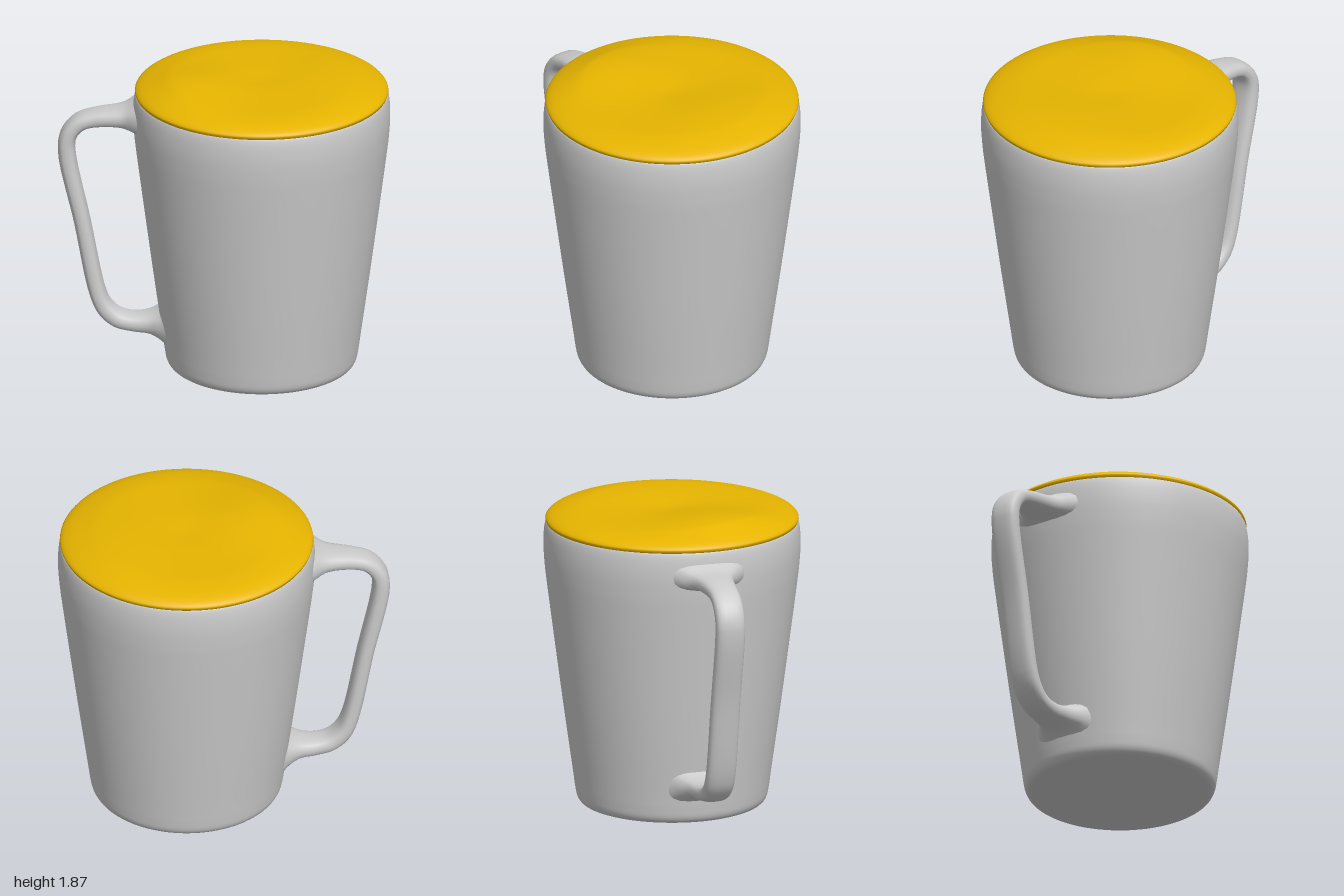
import * as THREE from 'three';
import { mergeVertices } from 'three/addons/utils/BufferGeometryUtils.js';

const CX = 0.225; // axis of the cup

// Builds an indexed surface from equally long loops of points
function skin(loops) {
  const n = loops[0].length, pos = [], idx = [];
  loops.forEach(l => l.forEach(p => pos.push(p.x, p.y, p.z)));
  for (let i = 0; i < loops.length - 1; i++)
    for (let j = 0; j < n; j++) {
      const a = i * n + j, b = i * n + (j + 1) % n;
      idx.push(a, b, a + n, b, b + n, a + n);
    }
  let g = new THREE.BufferGeometry();
  g.setAttribute('position', new THREE.Float32BufferAttribute(pos, 3));
  g.setIndex(idx);
  g = mergeVertices(g, 1e-5);
  g.computeVertexNormals();
  return g;
}

// Tapered cup with rounded foot and rim
function cup() {
  const wall = new THREE.SplineCurve([
    [0.5, 0.008], [0.545, 0.018], [0.57, 0.05], [0.582, 0.11], [0.597, 0.22], [0.65, 0.6], [0.703, 1.0],
    [0.752, 1.38], [0.765, 1.5], [0.771, 1.6], [0.768, 1.69], [0.758, 1.745], [0.745, 1.753],
  ].map(p => new THREE.Vector2(...p))).getPoints(60);
  const profile = [new THREE.Vector2(0, 0), new THREE.Vector2(0.3, 0.003), ...wall, new THREE.Vector2(0, 1.753)];
  const g = new THREE.LatheGeometry(profile, 96);
  g.translate(CX, 0, 0);
  return g;
}

// Softly waved surface of the lid
function lidHeight(r, x, z) {
  const d = Math.min(1, (0.76 - r) / 0.25);
  const bump = (h, bx, bz, sx, sz) => h * Math.exp(-(((x - bx) / sx) ** 2) - ((z - bz) / sz) ** 2);
  const edge = 0.06 * Math.sqrt(Math.max(0, 1 - (1 - d) ** 2));
  const wave = bump(0.047, -0.2, 0.14, 0.3, 0.36) + bump(0.026, 0.62, -0.08, 0.27, 0.45) - bump(0.008, CX, -0.02, 0.12, 0.12);
  return 1.765 + edge + wave * Math.min(1, d * 1.3);
}

function lid() {
  const N = 96, loops = [];
  const ring = (r, height) => loops.push(Array.from({ length: N }, (_, j) => {
    const a = -j / N * Math.PI * 2, x = CX + r * Math.cos(a), z = r * Math.sin(a);
    return new THREE.Vector3(x, height ?? lidHeight(r, x, z), z);
  }));
  ring(0, 1.745);
  ring(0.745, 1.745);
  ring(0.755, 1.75);
  for (let i = 0; i <= 36; i++) ring(0.76 * Math.cos(i / 36 * Math.PI / 2));
  return skin(loops);
}

// Handle between an outer and an inner edge; the third value is the half width
function handle() {
  const curve = pts => new THREE.CatmullRomCurve3(pts.map(p => new THREE.Vector3(...p)), false, 'centripetal');
  const outer = curve([
    [-0.47, 1.72, 0.27], [-0.535, 1.685, 0.2], [-0.61, 1.65, 0.13], [-0.77, 1.625, 0.095], [-0.89, 1.585, 0.09], [-0.97, 1.5, 0.09],
    [-0.998, 1.38, 0.09], [-0.9, 0.9, 0.09], [-0.805, 0.43, 0.09], [-0.75, 0.31, 0.09], [-0.66, 0.235, 0.09],
    [-0.54, 0.207, 0.095], [-0.45, 0.2, 0.115], [-0.385, 0.175, 0.16], [-0.33, 0.13, 0.21]]);
  const inner = curve([
    [-0.47, 1.5, 0], [-0.535, 1.515, 0], [-0.61, 1.53, 0], [-0.76, 1.525, 0], [-0.835, 1.505, 0], [-0.88, 1.455, 0],
    [-0.893, 1.37, 0], [-0.8, 0.9, 0], [-0.704, 0.44, 0], [-0.665, 0.37, 0], [-0.61, 0.327, 0],
    [-0.53, 0.312, 0], [-0.45, 0.322, 0], [-0.385, 0.35, 0], [-0.33, 0.4, 0]]);
  const S = 84, N = 20, loops = [];
  const round = v => Math.sign(v) * Math.abs(v) ** 0.75;
  for (let i = 0; i <= S; i++) {
    const o = outer.getPoint(i / S), n = inner.getPoint(i / S), w = o.z;
    loops.push(Array.from({ length: N }, (_, j) => {
      const a = j / N * Math.PI * 2, k = (1 + round(Math.cos(a))) / 2;
      return new THREE.Vector3(n.x + (o.x - n.x) * k, n.y + (o.y - n.y) * k, w * round(Math.sin(a)));
    }));
  }
  return skin(loops);
}

export function createModel() {
  const group = new THREE.Group();
  const grey = new THREE.MeshStandardMaterial({ color: 0xcccccc, side: THREE.DoubleSide });
  const yellow = new THREE.MeshStandardMaterial({ color: 0xe6b400, side: THREE.DoubleSide });
  const add = (name, geometry, material) => {
    const mesh = new THREE.Mesh(geometry, material);
    mesh.name = name;
    group.add(mesh);
  };
  add('cup', cup(), grey);
  add('lid', lid(), yellow);
  add('handle', handle(), grey);
  return group;
}
